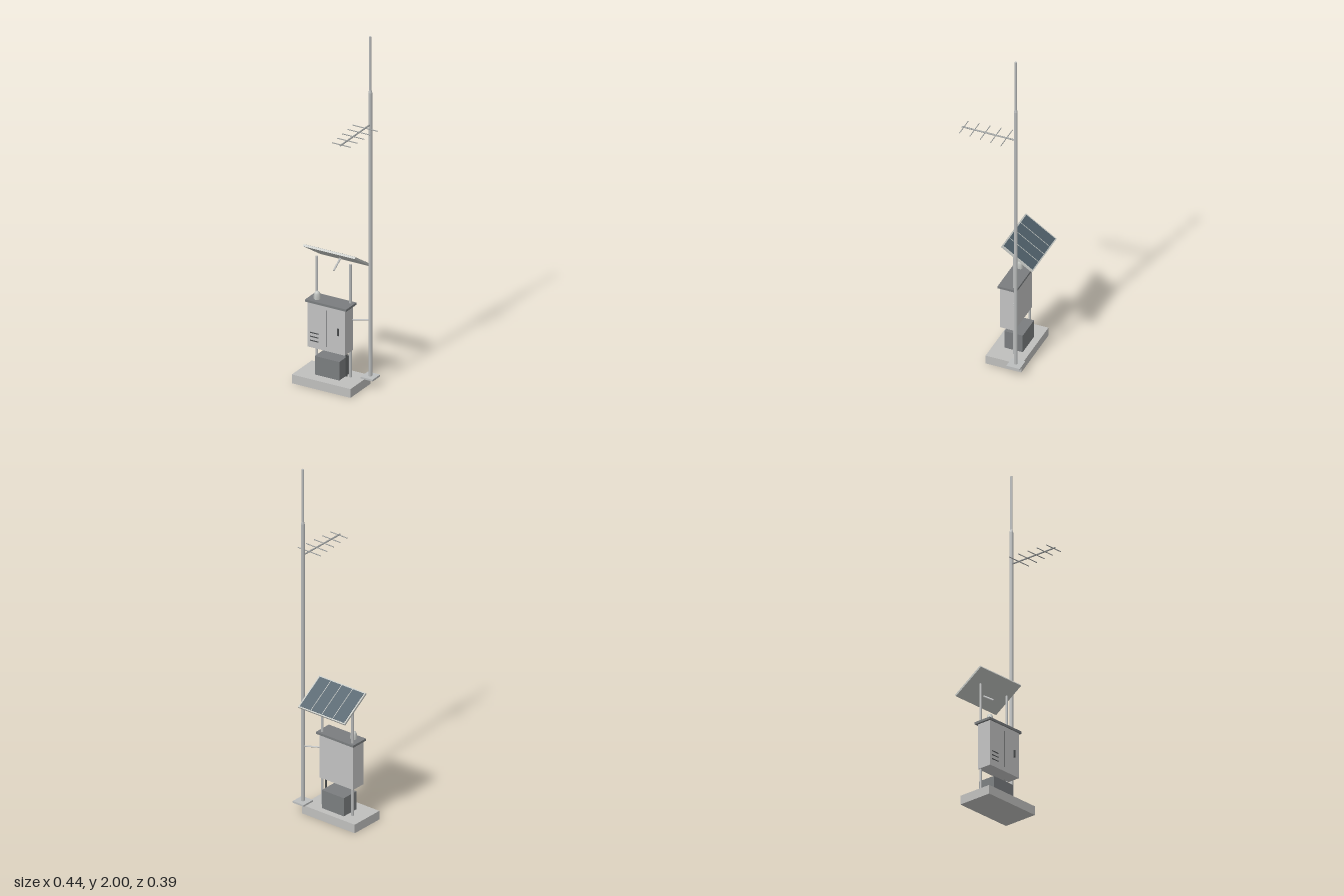
import * as THREE from 'three';

const mat = (name, color) => Object.assign(new THREE.MeshStandardMaterial({ color }), { name });

export function createModel() {
  const model = new THREE.Group();
  model.name = 'monitoringStation';
  const concrete = mat('concrete', 0xbfbfbd);
  const steel = mat('galvanised steel', 0xbcbebe);
  const cabinetGrey = mat('cabinet grey', 0xc2c2c2);
  const darkGrey = mat('dark grey', 0x7a7d7f);
  const charcoal = mat('charcoal', 0x4c4f50);
  const frameGrey = mat('frame grey', 0xc2c5c1);
  const cellBlue = mat('cell blue', 0x50606a);
  const antennaGrey = mat('antenna grey', 0x9c9f9f);

  const add = (name, geo, material, x = 0, y = 0, z = 0, parent = model) => {
    const mesh = new THREE.Mesh(geo, material);
    mesh.name = name;
    mesh.position.set(x, y, z);
    parent.add(mesh);
    return mesh;
  };
  // Box given by its lowest and highest corners
  const box = (name, material, a, b, parent = model) =>
    add(name, new THREE.BoxGeometry(b[0] - a[0], b[1] - a[1], b[2] - a[2]), material,
      (a[0] + b[0]) / 2, (a[1] + b[1]) / 2, (a[2] + b[2]) / 2, parent);
  // Six-sided smooth rod between two points
  const rod = (name, material, from, to, radius, endRadius = radius) => {
    const a = new THREE.Vector3(...from), b = new THREE.Vector3(...to);
    const dir = b.clone().sub(a);
    const mesh = add(name, new THREE.CylinderGeometry(endRadius, radius, dir.length(), 6), material);
    mesh.position.copy(a).add(b).multiplyScalar(0.5);
    mesh.quaternion.setFromUnitVectors(new THREE.Vector3(0, 1, 0), dir.normalize());
    return mesh;
  };

  // Foundation and mast
  box('slab', concrete, [-0.223, 0, -0.137], [0.132, 0.05, 0.065]);
  box('mastBasePlate', steel, [0.109, 0.05, -0.15], [0.183, 0.06, -0.074]);
  const mx = 0.146, mz = -0.112;
  rod('mastLower', steel, [mx, 0.06, mz], [mx, 1.68, mz], 0.0105);
  rod('mastReducer', steel, [mx, 1.68, mz], [mx, 1.695, mz], 0.0105, 0.0065);
  rod('mastUpper', steel, [mx, 1.69, mz], [mx, 2, mz], 0.0065);
  rod('mastBracket', steel, [mx, 0.38, mz], [0.06, 0.38, -0.063], 0.0045);

  // Support posts
  for (const x of [-0.148, 0.055]) rod('supportPost', steel, [x, 0.05, -0.063], [x, 0.695, -0.063], 0.007);

  // Equipment cabinet
  box('cabinet', cabinetGrey, [-0.158, 0.205, -0.071], [0.067, 0.463, 0.013]);
  box('cabinetRoof', darkGrey, [-0.17, 0.461, -0.084], [0.079, 0.474, 0.02]);
  box('doorSeam', charcoal, [-0.0475, 0.23, 0.012], [-0.0445, 0.437, 0.0138]);
  box('doorHandle', charcoal, [0.022, 0.31, 0.012], [0.032, 0.35, 0.0195]);
  for (const y of [0.245, 0.268, 0.29]) box('ventSlot', charcoal, [-0.145, y - 0.003, 0.012], [-0.093, y + 0.003, 0.0138]);

  // Roof sensor dome
  const profile = [[0.019, 0], [0.0185, 0.012], [0.017, 0.03], [0.012, 0.041], [0, 0.046]];
  add('sensorDome', new THREE.LatheGeometry(profile.map(p => new THREE.Vector2(...p)), 6), frameGrey, -0.121, 0.473, -0.021);

  // Battery box and conduit
  box('batteryBox', darkGrey, [-0.12, 0.05, -0.1], [0.028, 0.156, 0.004]);
  rod('conduit', charcoal, [0.033, 0.05, -0.06], [0.033, 0.21, -0.06], 0.005);

  // Solar panel, high at the front and sloping down to the back
  const panel = new THREE.Group();
  panel.name = 'solarPanel';
  panel.position.set(-0.045, 0.706, -0.1035);
  panel.rotation.x = -THREE.MathUtils.degToRad(33);
  model.add(panel);
  const hw = 0.1565, hd = 0.1045;
  box('panelBacking', frameGrey, [-hw, -0.006, -hd], [hw, 0.005, hd], panel);
  box('panelCells', cellBlue, [-hw + 0.0085, 0.004, -hd + 0.007], [hw - 0.0085, 0.0065, hd - 0.007], panel);
  for (const x of [-0.073, 0, 0.073]) box('cellDivider', frameGrey, [x - 0.0017, 0.005, -hd + 0.007], [x + 0.0017, 0.0075, hd - 0.007], panel);
  rod('panelStrut', steel, [-0.046, 0.636, -0.063], [-0.046, 0.682, -0.135], 0.005);

  // Directional antenna
  rod('antennaBoom', antennaGrey, [mx, 1.497, mz], [mx, 1.497, 0.193], 0.0045);
  [0.076, 0.071, 0.066, 0.061, 0.056].forEach((half, i) => {
    const z = -0.06 + i * 0.0605;
    rod('antennaElement', antennaGrey, [mx - half, 1.497, z], [mx + half, 1.497, z], 0.0025);
  });
  return model;
}
